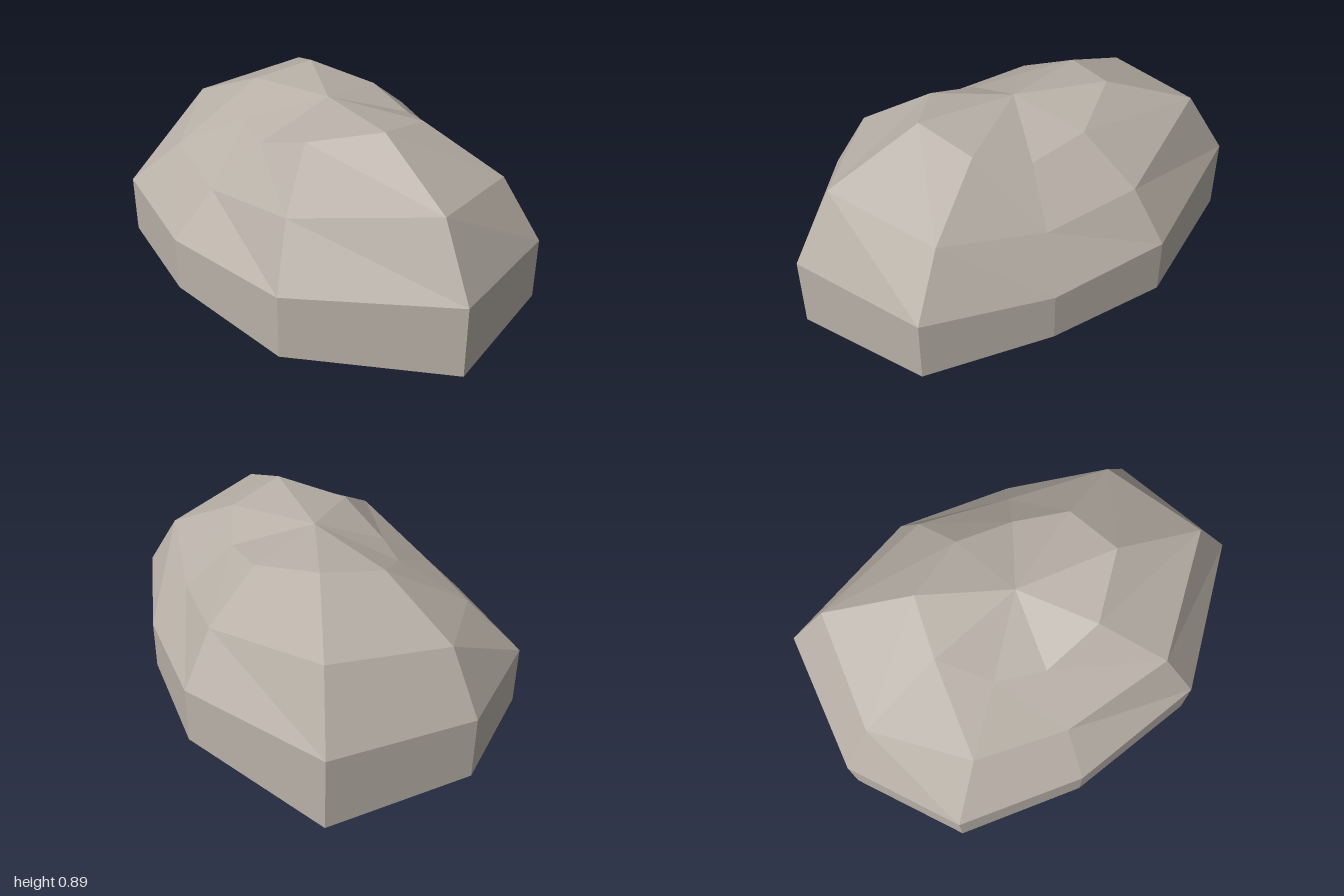
import * as THREE from 'three';

// Nine-sided boulder: each ring lists [x, y, z] around the rock, from +x toward +z
const shoulder = [
  [0.815, 0.64, 0], [0.73, 0.71, 0.535], [0.12, 0.645, 0.705],
  [-0.36, 0.55, 0.485], [-0.70, 0.58, 0.21], [-0.845, 0.65, -0.245],
  [-0.52, 0.71, -0.705], [0.11, 0.60, -0.62], [0.465, 0.55, -0.345],
];
const wallTop = [
  [1.0, 0.365, 0.005], [0.88, 0.39, 0.64], [0.153, 0.37, 0.862],
  [-0.47, 0.345, 0.64], [-0.945, 0.36, 0.28], [-1.0, 0.37, -0.29],
  [-0.63, 0.395, -0.862], [0.137, 0.355, -0.775], [0.61, 0.335, -0.44],
];
const crown = [
  [0.44, 0.83, 0], [0.37, 0.887, 0.28], [0.05, 0.82, 0.38],
  [-0.22, 0.715, 0.285], [-0.39, 0.73, 0.12], [-0.46, 0.825, -0.13],
  [-0.275, 0.865, -0.355], [0.055, 0.80, -0.36], [0.29, 0.755, -0.21],
];
const wallFootHeights = [0.07, 0.05, 0.07, 0.09, 0.08, 0.07, 0.045, 0.085, 0.10];

// Lower rim follows the wall; the base is tucked in under the shoulder
const wallFoot = wallTop.map(([x, , z], i) => [x, wallFootHeights[i], z]);
const base = shoulder.map(([x, , z]) => [x, 0, z]);

function rockGeometry(rings, apex) {
  const positions = [];
  const face = (...corners) => corners.forEach((p) => positions.push(...p));
  const n = rings[0].length;
  for (let i = 0; i < n; i++) {
    const j = (i + 1) % n;
    // Sides, band by band
    for (let r = 0; r < rings.length - 1; r++) {
      const low = rings[r], high = rings[r + 1];
      face(low[i], high[i], high[j]);
      face(low[i], high[j], low[j]);
    }
    // Top fan and flat underside
    const last = rings[rings.length - 1];
    face(last[i], apex, last[j]);
    face(rings[0][i], rings[0][j], [0, 0, 0]);
  }
  const geometry = new THREE.BufferGeometry();
  geometry.setAttribute('position', new THREE.Float32BufferAttribute(positions, 3));
  geometry.computeVertexNormals();
  return geometry;
}

export function createModel() {
  const stone = new THREE.MeshStandardMaterial({ color: 0xb8b0a7, flatShading: true });
  stone.name = 'stone';

  const rock = new THREE.Mesh(
    rockGeometry([base, wallFoot, wallTop, shoulder, crown], [-0.02, 0.862, 0]),
    stone,
  );
  rock.name = 'boulder';

  const model = new THREE.Group();
  model.name = 'rock';
  model.add(rock);
  return model;
}
